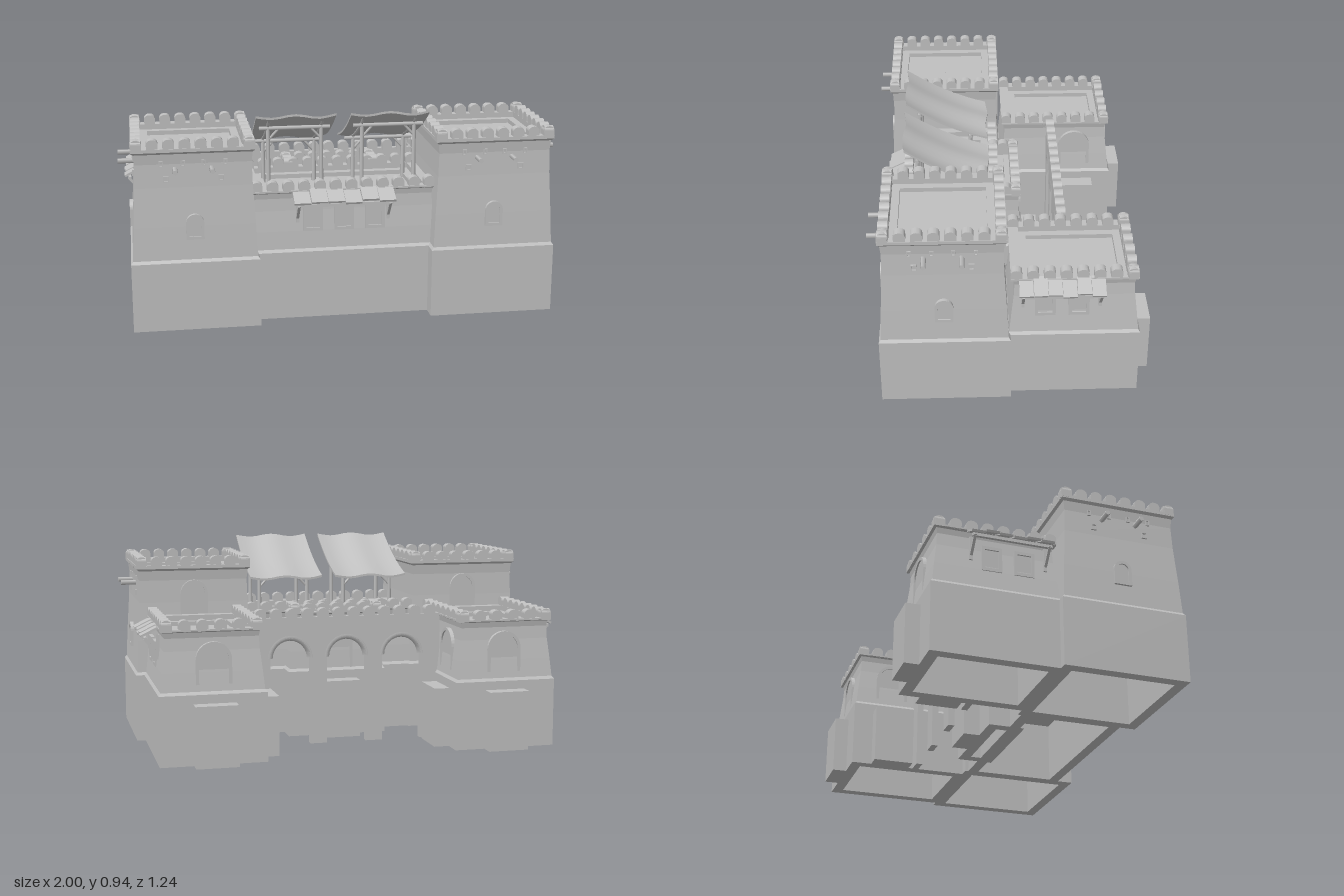
import * as THREE from 'three';

const stone = new THREE.MeshStandardMaterial({ color: 0xc0c0c0 });
stone.name = 'stone grey';
const PI = Math.PI;

function add(parent, geo, name, x = 0, y = 0, z = 0, ry = 0) {
  const m = new THREE.Mesh(geo, stone);
  m.name = name;
  m.position.set(x, y, z);
  m.rotation.y = ry;
  parent.add(m);
  return m;
}

function sub(parent, name, x, y, z, ry = 0) {
  const g = new THREE.Group();
  g.name = name;
  g.position.set(x, y, z);
  g.rotation.y = ry;
  parent.add(g);
  return g;
}

// Rectangular loft: profile of [inset, y] carried round a rectangle
function rectLoft(hx, hz, profile) {
  const ring = ([inset, y]) => {
    const a = Math.max(0.001, hx - inset), b = Math.max(0.001, hz - inset);
    return [[a, y, b], [a, y, -b], [-a, y, -b], [-a, y, b]];
  };
  const pos = [];
  for (let i = 0; i < profile.length - 1; i++) {
    const lo = ring(profile[i]), hi = ring(profile[i + 1]);
    for (let k = 0; k < 4; k++) {
      const n = (k + 1) % 4;
      pos.push(...lo[k], ...lo[n], ...hi[n], ...lo[k], ...hi[n], ...hi[k]);
    }
  }
  const g = new THREE.BufferGeometry();
  g.setAttribute('position', new THREE.Float32BufferAttribute(pos, 3));
  g.computeVertexNormals();
  return g;
}

// Round-topped merlon, standing on its base, centred in depth
function merlonGeo(w = 0.05, h = 0.042, d = 0.042) {
  const s = new THREE.Shape();
  s.moveTo(-w / 2, -0.01);
  s.lineTo(w / 2, -0.01);
  s.lineTo(w / 2, h * 0.55);
  s.absellipse(0, h * 0.55, w / 2, h * 0.45, 0, PI, false);
  s.closePath();
  return new THREE.ExtrudeGeometry(s, { depth: d, bevelEnabled: false, curveSegments: 6 }).translate(0, 0, -d / 2);
}
const merlon = merlonGeo();

function merlonRow(parent, x0, z0, x1, z1, y, n) {
  const ry = Math.abs(z1 - z0) > Math.abs(x1 - x0) ? PI / 2 : 0;
  for (let i = 0; i < n; i++) {
    const t = i / (n - 1);
    add(parent, merlon, 'merlon', x0 + (x1 - x0) * t, y, z0 + (z1 - z0) * t, ry);
  }
}

// Hollow plinth, battered wall, flared parapet and sunken roof
function building(parent, name, x, z, hx, hz, top, taper, sides, nx, nz) {
  const g = sub(parent, name, x, 0, z);
  const at = t => 0.33 + (top - 0.33) * t;
  add(g, rectLoft(hx, hz, [
    [9, 0.29], [0.05, 0.29], [0.05, 0], [0, 0], [0, 0.315], [0.009, 0.328],
    [taper * 0.55, at(0.3)], [taper * 0.9, at(0.65)], [taper, at(0.86)],
    [taper * 0.85, at(0.95)], [taper * 0.5, at(0.97)], [taper * 0.5, top],
    [taper * 0.5 + 0.045, top], [taper * 0.5 + 0.045, top - 0.025],
    [0.095, top - 0.025], [0.095, top - 0.045], [9, top - 0.045]
  ]), 'walls');
  const ix = hx - taper * 0.5 - 0.024, iz = hz - taper * 0.5 - 0.024;
  if (sides.includes('f')) merlonRow(g, -ix, iz, ix, iz, top, nx);
  if (sides.includes('b')) merlonRow(g, -ix, -iz, ix, -iz, top, nx);
  if (sides.includes('l')) merlonRow(g, ix, -iz, ix, iz, top, nz);
  if (sides.includes('r')) merlonRow(g, -ix, -iz, -ix, iz, top, nz);
  return g;
}

// Door or window outline, base at y = 0
function outline(P, w, h, arched) {
  const s = new P();
  s.moveTo(-w / 2, 0);
  s.lineTo(w / 2, 0);
  if (arched) {
    s.lineTo(w / 2, h - w / 2);
    s.absarc(0, h - w / 2, w / 2, 0, PI, false);
  } else {
    s.lineTo(w / 2, h);
    s.lineTo(-w / 2, h);
  }
  s.closePath();
  return s;
}

// Framed opening facing +z of its group, wall surface at z = 0
function opening(parent, name, w, h, arched, x, y, z, ry = 0, rim = 0.014) {
  const g = sub(parent, name, x, y, z, ry);
  const frame = outline(THREE.Shape, w, h, arched);
  const hole = outline(THREE.Path, w - rim * 2, h - rim * 2, arched);
  hole.curves.forEach(c => {
    if (c.v1) { c.v1.y += rim; c.v2.y += rim; } else c.aY += rim;
  });
  frame.holes.push(hole);
  add(g, new THREE.ExtrudeGeometry(frame, { depth: 0.026, bevelEnabled: false, curveSegments: 8 }), 'frame', 0, 0, -0.016);
  add(g, new THREE.ShapeGeometry(outline(THREE.Shape, w - 0.01, h - 0.01, arched), 8), 'panel', 0, 0.005, 0.003);
  return g;
}

// Plank canopy above a row of windows, facing +z of its group
function canopy(parent, len, x, y, z, ry) {
  const g = sub(parent, 'windowCanopy', x, y, z, ry);
  const n = 6, w = len / n;
  for (let i = 0; i < n; i++) {
    const p = add(g, new THREE.BoxGeometry(w * 0.97, 0.01, 0.085 + 0.012 * (i % 2)), 'plank',
      -len / 2 + w * (i + 0.5), -0.018 + 0.004 * ((i * 2) % 3), 0.04);
    p.rotation.x = 0.45;
  }
  add(g, new THREE.BoxGeometry(len * 0.96, 0.014, 0.014), 'beam', 0, -0.048, 0.062);
  for (const s of [-1, 1]) {
    add(g, new THREE.BoxGeometry(0.014, 0.11, 0.014), 'wallPost', s * len * 0.45, -0.085, 0.006);
    const b = add(g, new THREE.BoxGeometry(0.012, 0.1, 0.012), 'strut', s * len * 0.45, -0.085, 0.035);
    b.rotation.x = 0.7;
  }
}

// Window, slots and projecting beams on one face of a tall tower
function towerFace(parent, x, z, ry) {
  const g = sub(parent, 'towerFace', x, 0, z, ry);
  opening(g, 'archedWindow', 0.08, 0.115, true, 0, 0.42, -0.013);
  for (const s of [-1, 1]) {
    for (const u of [0.14, 0.045]) opening(g, 'slot', 0.018, 0.026, false, s * u, 0.75, -0.033, 0, 0.004);
    opening(g, 'ventHole', 0.025, 0.028, false, s * 0.12, 0.68, -0.03, 0, 0.004);
    const b = add(g, new THREE.CylinderGeometry(0.012, 0.012, 0.1, 5), 'roofBeam', s * 0.08, 0.738, -0.008);
    b.rotation.x = PI / 2;
  }
}

// Sagging cloth shade on posts
function shade(parent, cx) {
  const g = sub(parent, 'roofShade', cx, 0, 0);
  const height = z => { const t = (z - 0.09) / 0.38; return 0.755 + 0.1 * t + 0.08 * t * t; };
  const cloth = new THREE.BoxGeometry(0.36, 0.01, 0.38, 10, 1, 8).translate(0, 0, 0.28);
  const p = cloth.attributes.position;
  for (let i = 0; i < p.count; i++) {
    const x = p.getX(i), z = p.getZ(i);
    p.setY(i, p.getY(i) + height(z) + 0.007 * Math.cos(x * 30) - 0.002);
    p.setZ(i, z + 0.006 * Math.sin(x * 22));
  }
  cloth.computeVertexNormals();
  add(g, cloth, 'cloth');
  for (const z of [0.17, 0.41]) {
    const h = height(z) - 0.02;
    for (const s of [-1, 1]) {
      add(g, new THREE.CylinderGeometry(0.009, 0.011, h - 0.54, 6), 'post', s * 0.12, (h + 0.54) / 2, z);
      const br = add(g, new THREE.CylinderGeometry(0.006, 0.006, 0.07, 5), 'brace', s * 0.098, h - 0.035, z);
      br.rotation.z = s * 0.75;
    }
    const beam = add(g, new THREE.CylinderGeometry(0.009, 0.009, 0.32, 6), 'crossBeam', 0, h - 0.005, z);
    beam.rotation.z = PI / 2;
  }
  for (const s of [-1, 1]) {
    const pts = [0.11, 0.22, 0.34, 0.455].map(z => new THREE.Vector3(s * 0.12, height(z) - 0.014, z));
    add(g, new THREE.TubeGeometry(new THREE.CatmullRomCurve3(pts), 8, 0.008, 5), 'rafter');
  }
}

// Thin rear wall pierced by three tall arches
function arcade(parent) {
  const g = sub(parent, 'rearArcade', 0, 0, -0.235);
  const s = new THREE.Shape(), r = 0.095, spring = 0.41;
  s.moveTo(-0.46, 0);
  for (const c of [-0.27, 0, 0.27]) {
    s.lineTo(c - r, 0);
    s.lineTo(c - r, spring);
    s.absarc(c, spring, r, PI, 0, true);
    s.lineTo(c + r, 0);
  }
  s.lineTo(0.46, 0);
  s.lineTo(0.46, 0.6);
  s.lineTo(-0.46, 0.6);
  s.closePath();
  add(g, new THREE.ExtrudeGeometry(s, { depth: 0.03, bevelEnabled: false, curveSegments: 10 }), 'archedWall', 0, 0, -0.015);
  for (const c of [-0.27, 0, 0.27])
    add(g, new THREE.TorusGeometry(r + 0.006, 0.02, 4, 12, PI), 'archRim', c, spring, 0);
  merlonRow(g, -0.41, 0, 0.41, 0, 0.6, 12);
}

export function createModel() {
  const root = new THREE.Group();
  root.name = 'fort';

  for (const s of [-1, 1]) {
    // Tall front towers
    building(root, 'frontTower', s * 0.675, 0.295, 0.285, 0.285, 0.83, 0.03, 'fblr', 8, 8);
    towerFace(root, s * 0.675, 0.58, 0);
    towerFace(root, s * 0.96, 0.295, s * PI / 2);
    opening(root, 'roofDoor', 0.13, 0.2, true, s * 0.675, 0.56, 0.035, PI);

    // Lower rear towers, with doors above solid landings
    building(root, 'rearTower', s * 0.68, -0.265, 0.24, 0.29, 0.6, 0.032, 'blr', 6, 8);
    opening(root, 'rearDoor', 0.16, 0.27, true, s * 0.675, 0.275, -0.533, PI);
    add(root, new THREE.BoxGeometry(0.19, 0.275, 0.09), 'rearLanding', s * 0.675, 0.1375, -0.575);
    opening(root, 'innerDoor', 0.16, 0.27, true, s * 0.462, 0.275, -0.365, -s * PI / 2);
    add(root, new THREE.BoxGeometry(0.09, 0.275, 0.19), 'innerLanding', s * 0.413, 0.1375, -0.365);
    for (const z of [-0.14, -0.285])
      opening(root, 'sideWindow', 0.09, 0.115, false, s * 0.897, 0.41, z, s * PI / 2);
    canopy(root, 0.37, s * 0.892, 0.592, -0.21, s * PI / 2);

    shade(root, s * 0.213);
  }

  // Central hall and its rear porch
  building(root, 'centralHall', 0, 0.265, 0.43, 0.24, 0.6, 0.025, 'fb', 12, 6);
  for (const x of [-0.142, 0, 0.142]) opening(root, 'frontWindow', 0.09, 0.115, false, x, 0.41, 0.487);
  canopy(root, 0.46, -0.005, 0.592, 0.484, 0);
  building(root, 'rearPorch', 0, 0.01, 0.24, 0.085, 0.6, 0.025, 'blr', 7, 3);
  opening(root, 'porchDoor', 0.16, 0.27, true, 0, 0.275, -0.057, PI);
  add(root, new THREE.BoxGeometry(0.19, 0.275, 0.09), 'porchLanding', 0, 0.1375, -0.105);

  arcade(root);
  return root;
}
